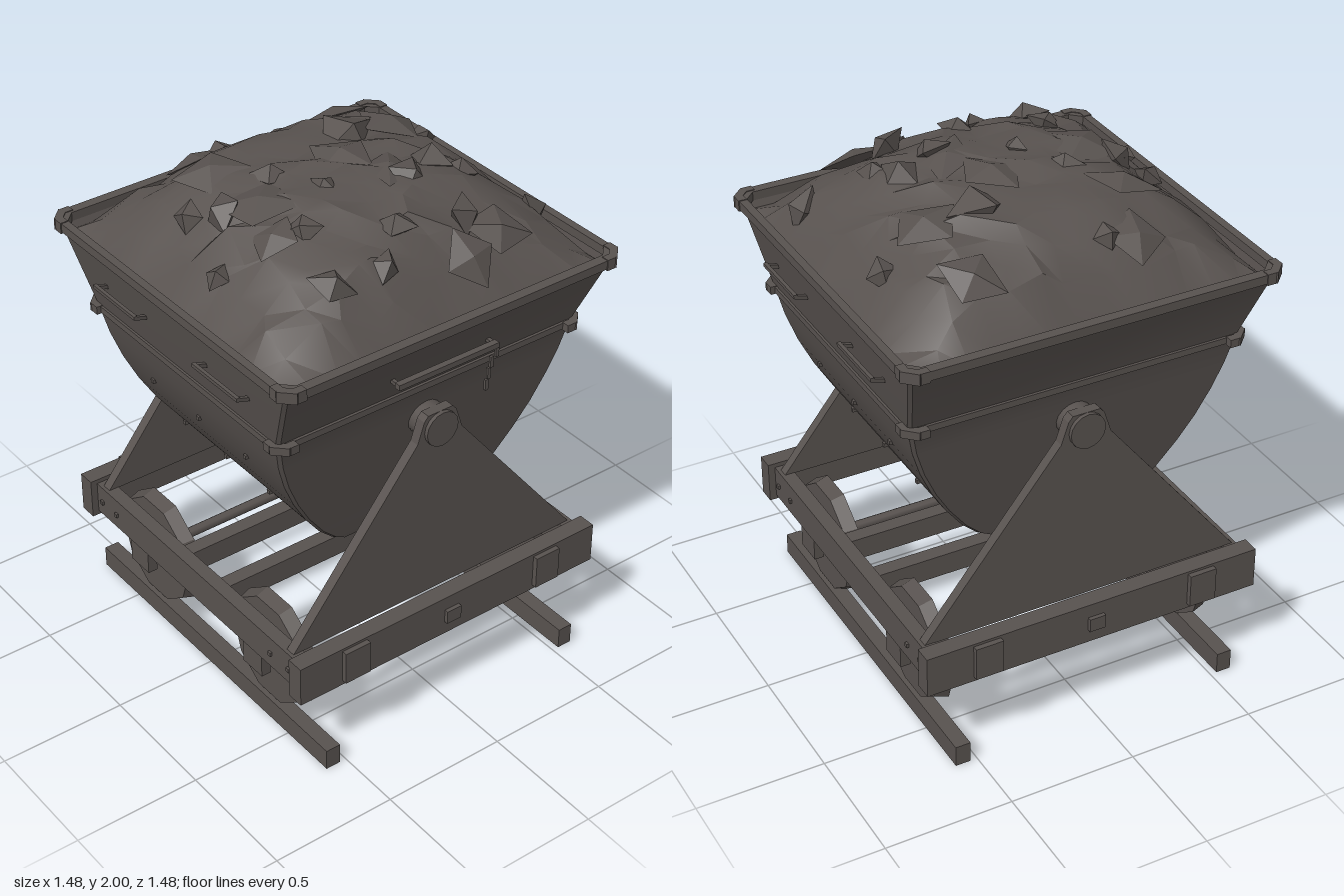
import * as THREE from 'three';
import { toCreasedNormals } from 'three/addons/utils/BufferGeometryUtils.js';

const iron = new THREE.MeshStandardMaterial({ color: 0x58524f, side: THREE.DoubleSide });
iron.name = 'darkIron';

export function createModel() {
  const root = new THREE.Group();
  root.name = 'tippingMineCart';

  let seed = 7;
  const rand = () => (seed = (seed * 16807) % 2147483647) / 2147483647;

  const add = (name, geometry, x = 0, y = 0, z = 0) => {
    const mesh = new THREE.Mesh(geometry, iron);
    mesh.name = name;
    mesh.position.set(x, y, z);
    root.add(mesh);
    return mesh;
  };
  const box = (name, w, h, d, x, y, z) => add(name, new THREE.BoxGeometry(w, h, d), x, y, z);

  // Rectangle with cut corners, as [x, z] pairs
  const outline = (hx, hz, c) => [
    [hx, hz - c], [hx - c, hz], [c - hx, hz], [-hx, hz - c],
    [-hx, c - hz], [c - hx, -hz], [hx - c, -hz], [hx, c - hz],
  ];
  const toPoints = (list) => list.map(([a, b]) => new THREE.Vector2(a, b));

  // Flat rectangular hoop around the bin
  const hoop = (name, hx, hz, ix, iz, y, h) => {
    const shape = new THREE.Shape(toPoints(outline(hx, hz, 0.05)));
    shape.holes.push(new THREE.Path(toPoints(outline(ix, iz, 0.04))));
    const g = new THREE.ExtrudeGeometry(shape, { depth: h, bevelEnabled: false });
    g.rotateX(-Math.PI / 2);
    add(name, g, 0, y, 0);
  };

  // Bin: rows of [y, half width, half depth], curved in at the bottom
  const rows = [
    [0.745, 0.45, 0.3], [0.768, 0.455, 0.34], [0.83, 0.465, 0.405], [0.93, 0.482, 0.48],
    [1.03, 0.5, 0.54], [1.14, 0.518, 0.592], [1.25, 0.538, 0.63], [1.37, 0.56, 0.657], [1.68, 0.695, 0.715],
  ];
  const pos = [], idx = [];
  rows.forEach(([y, hx, hz]) => outline(hx, hz, 0.012).forEach(([x, z]) => pos.push(x, y, z)));
  for (let r = 0; r < rows.length - 1; r++) {
    for (let i = 0; i < 8; i++) {
      const a = r * 8 + i, b = r * 8 + ((i + 1) % 8);
      idx.push(a, a + 8, b, b, a + 8, b + 8);
    }
  }
  for (let i = 1; i < 7; i++) idx.push(0, i, i + 1);
  const bin = new THREE.BufferGeometry();
  bin.setAttribute('position', new THREE.Float32BufferAttribute(pos, 3));
  bin.setIndex(idx);
  add('bin', toCreasedNormals(bin, 0.4));

  // Interpolated wall position at a height (1 = half width, 2 = half depth)
  const wall = (y, k) => {
    const i = Math.max(1, rows.findIndex((r) => r[0] >= y));
    const [a, b] = [rows[i - 1], rows[i]];
    return a[k] + ((b[k] - a[k]) * (y - a[0])) / (b[0] - a[0]);
  };

  // Rim, middle band and their corner clamps
  hoop('rim', 0.722, 0.736, 0.682, 0.705, 1.66, 0.035);
  hoop('middleBand', 0.575, 0.668, 0.545, 0.64, 1.355, 0.025);
  for (const [name, hx, hz, y, h] of [['rimClamp', 0.71, 0.725, 1.676, 0.044], ['bandClamp', 0.588, 0.67, 1.367, 0.032]]) {
    for (const sx of [-1, 1]) for (const sz of [-1, 1]) {
      box(name, 0.07, h, 0.03, sx * (hx - 0.018), y, sz * (hz - 0.018)).rotation.y = sx * sz * Math.PI / 4;
      box(name, 0.032, h, 0.035, sx * (hx - 0.001), y, sz * (hz - 0.055));
      box(name, 0.035, h, 0.032, sx * (hx - 0.055), y, sz * (hz - 0.001));
    }
  }

  // Grab handles and rivets on front and back
  for (const s of [-1, 1]) {
    for (const cx of [-0.31, 0.31]) {
      box('handleBar', 0.265, 0.014, 0.014, cx, 1.53, s * 0.73);
      for (const e of [-0.125, 0.125]) {
        box('handlePost', 0.014, 0.014, 0.06, cx + e, 1.52, s * 0.704).rotation.x = -s * 0.3;
      }
    }
    for (const [y, dx] of [[1.15, 0.29], [0.93, 0.265]]) {
      for (const k of [-1, 0, 1]) box('binRivet', 0.016, 0.016, 0.018, k * dx, y, s * (wall(y, 2) + 0.002));
    }
  }

  // Tipping handle and hanging chain on the left side
  box('tippingHandle', 0.025, 0.022, 0.44, 0.65, 1.485, 0);
  for (const z of [-0.21, 0.21]) box('tippingHandlePost', 0.05, 0.014, 0.014, 0.628, 1.485, z);
  for (const y of [1.44, 1.38, 1.325, 1.27]) {
    box('chainLink', 0.01, 0.045, 0.014, wall(y, 1) + 0.043, y, -0.235);
  }

  // Heaped load: domed grid with uneven surface
  const heapHeight = (x, z) => {
    const u = Math.min(1, Math.abs(x) / 0.67), v = Math.min(1, Math.abs(z) / 0.695);
    return 1.635 + 0.33 * (1 - u ** 3.6) * (1 - v ** 3.6);
  };
  const heap = new THREE.PlaneGeometry(1.34, 1.39, 13, 13);
  heap.rotateX(-Math.PI / 2);
  const hp = heap.attributes.position;
  for (let i = 0; i < hp.count; i++) {
    let x = hp.getX(i), z = hp.getZ(i);
    const inside = Math.abs(x) < 0.66 && Math.abs(z) < 0.68;
    if (inside) {
      x += (rand() - 0.5) * 0.06;
      z += (rand() - 0.5) * 0.06;
    }
    const bump = inside ? (rand() - 0.55) * 0.05 : 0;
    hp.setXYZ(i, x, heapHeight(x, z) + bump, z);
  }
  add('heap', toCreasedNormals(heap, 0.5));

  // Broken pieces bedded into the slope of the heap, none rising above the top
  const up = new THREE.Vector3(0, 1, 0);
  const piece = (name, x, z, r, flatness, tilt) => {
    const g = new THREE.OctahedronGeometry(r, 0);
    g.scale(0.8 + rand() * 0.5, flatness * (0.8 + rand() * 0.4), 0.7 + rand() * 0.5);
    g.rotateX((rand() - 0.5) * tilt);
    g.rotateZ((rand() - 0.5) * tilt);
    g.rotateY(rand() * 6.28);
    const e = 0.04;
    const normal = new THREE.Vector3(
      heapHeight(x - e, z) - heapHeight(x + e, z), 2 * e, heapHeight(x, z - e) - heapHeight(x, z + e),
    ).normalize();
    g.applyQuaternion(new THREE.Quaternion().setFromUnitVectors(up, normal));
    g.computeVertexNormals();
    g.computeBoundingBox();
    add(name, g, x, Math.min(heapHeight(x, z), 2 - g.boundingBox.max.y), z);
  };
  // Lumps: [x, z, radius]
  const lumps = [
    [-0.23, -0.58, 0.06], [0.37, -0.6, 0.085], [0.13, -0.33, 0.085], [0.22, -0.39, 0.06], [-0.2, -0.21, 0.11],
    [0.2, -0.18, 0.075], [0.43, -0.24, 0.075], [0.38, 0.02, 0.08], [0.49, 0.15, 0.06], [-0.48, 0.15, 0.055],
    [0.08, 0.1, 0.05], [-0.1, 0.2, 0.07], [0.24, 0.31, 0.07], [0.47, 0.36, 0.075], [-0.06, 0.43, 0.095],
    [0.12, 0.58, 0.06], [-0.17, 0.5, 0.07],
  ];
  lumps.forEach(([x, z, r]) => piece('lump', x, z, r, 0.7, 1.2));
  // Broad flat shards: [x, z, radius]
  const shards = [
    [-0.48, -0.37, 0.11], [-0.2, -0.4, 0.12], [0.12, -0.15, 0.12], [0.5, -0.33, 0.12], [0.55, -0.17, 0.1],
    [-0.05, -0.07, 0.12], [-0.5, 0.25, 0.1], [-0.27, 0.33, 0.13], [0.02, 0.33, 0.13], [0.2, 0.4, 0.11],
  ];
  shards.forEach(([x, z, r]) => piece('shard', x, z, r, 0.28, 0.3));

  // Triangular side supports with trunnions
  const plate = new THREE.Shape(toPoints([
    [-0.645, 0.49], [0.645, 0.49], [0.1, 1.17], [0.072, 1.255], [0.055, 1.275], [-0.055, 1.275], [-0.072, 1.255], [-0.1, 1.17],
  ]));
  const plateGeo = new THREE.ExtrudeGeometry(plate, { depth: 0.04, bevelEnabled: false });
  plateGeo.translate(0, 0, -0.02);
  plateGeo.rotateY(Math.PI / 2);
  const pinGeo = new THREE.CylinderGeometry(0.07, 0.07, 0.135, 16);
  pinGeo.rotateZ(Math.PI / 2);
  for (const s of [-1, 1]) {
    add('sideSupport', plateGeo, s * 0.6, 0, 0);
    add('trunnion', pinGeo, s * 0.568, 1.205, 0);

    // End beams with plates
    box('endBeam', 0.07, 0.165, 1.37, s * 0.682, 0.4275, 0);
    for (const z of [-0.445, 0.445]) box('beamPlate', 0.022, 0.135, 0.11, s * 0.727, 0.432, z);
    box('coupling', 0.022, 0.055, 0.065, s * 0.722, 0.4275, 0);

    // Long beams with bolts, cross members and track rails
    box('longBeam', 1.36, 0.13, 0.055, 0, 0.427, s * 0.63);
    for (const x of [-0.61, -0.51, 0.5, 0.61]) box('beamBolt', 0.016, 0.016, 0.012, x, 0.425, s * 0.661);
    box('crossMember', 0.06, 0.09, 1.22, s * 0.12, 0.425, 0);
    box('trackRail', 1.476, 0.085, 0.06, 0, 0.0425, s * 0.557);
  }

  // Ten-sided wheels with axles and bearing boxes
  const wheelGeo = new THREE.CylinderGeometry(0.22, 0.237, 0.054, 10).toNonIndexed();
  wheelGeo.computeVertexNormals();
  wheelGeo.rotateY(Math.PI / 2);
  wheelGeo.rotateX(Math.PI / 2);
  const axleGeo = new THREE.CylinderGeometry(0.02, 0.02, 1.15, 8);
  axleGeo.rotateX(Math.PI / 2);
  for (const x of [-0.372, 0.372]) {
    add('axle', axleGeo, x, 0.312, 0);
    for (const s of [-1, 1]) {
      add('wheel', wheelGeo, x, 0.31, s * 0.55).rotation.y = s < 0 ? Math.PI : 0;
      box('bearingBox', 0.115, 0.11, 0.04, x, 0.315, s * 0.63);
    }
  }
  return root;
}
